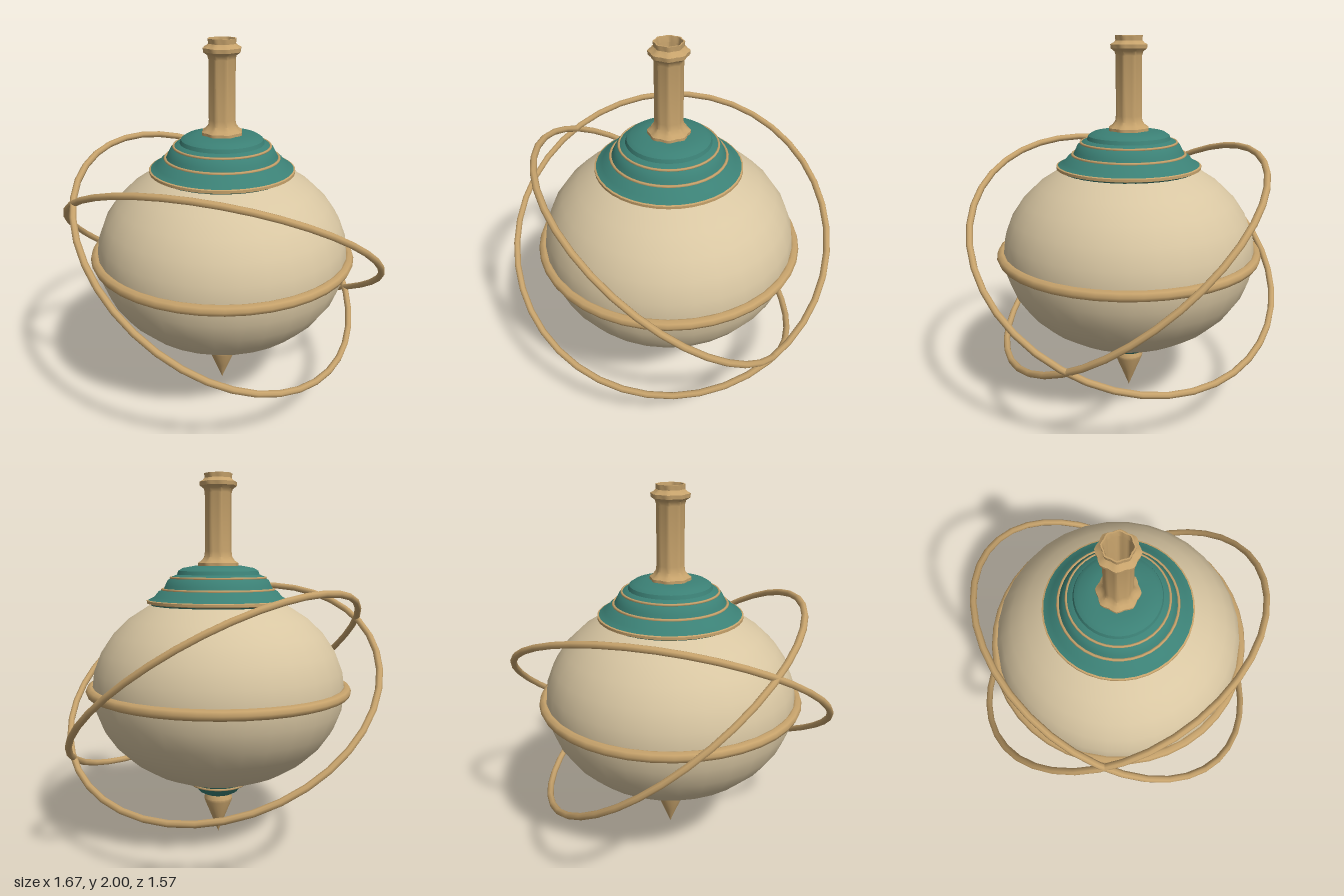
import * as THREE from 'three';
import { toCreasedNormals } from 'three/addons/utils/BufferGeometryUtils.js';

const material = (name, color) => {
  const m = new THREE.MeshStandardMaterial({ color });
  m.name = name;
  return m;
};

export function createModel() {
  const model = new THREE.Group();
  model.name = 'spinningTop';
  const cream = material('cream', 0xd8c6a2);
  const tan = material('tan', 0xc6a26b);
  const teal = material('teal', 0x3b8075);

  const add = (name, geometry, mat, y = 0) => {
    const mesh = new THREE.Mesh(geometry, mat);
    mesh.name = name;
    mesh.position.y = y;
    model.add(mesh);
    return mesh;
  };
  // Profiles run upwards as [radius, height] pairs
  const lathe = (profile, segments = 40) =>
    new THREE.LatheGeometry(profile.map(([r, y]) => new THREE.Vector2(r, y)), segments);
  const turned = (name, profile, mat, segments) =>
    add(name, toCreasedNormals(lathe(profile, segments), 0.6), mat);
  const hoop = (name, radius, tube, y, sides = 8, segments = 40) =>
    add(name, new THREE.TorusGeometry(radius, tube, sides, segments).rotateX(Math.PI / 2), tan, y);

  // Flattened round body with its equator band
  add('body', new THREE.SphereGeometry(0.692, 32, 16).scale(1, 0.78, 1), cream, 0.845);
  hoop('equatorBand', 0.699, 0.029, 0.842);

  // Stepped upper collar, open in the middle
  turned('upperCollar', [
    [0.35, 1.27], [0.37, 1.305], [0.385, 1.315], [0.385, 1.328], [0.35, 1.345], [0.325, 1.375],
    [0.3, 1.385], [0.29, 1.405], [0.275, 1.435], [0.26, 1.445], [0.25, 1.455], [0.225, 1.465],
    [0.218, 1.485], [0.195, 1.5], [0.13, 1.512], [0.06, 1.512],
  ], teal);
  turned('upperCollarRim', [[0.37, 1.306], [0.391, 1.312], [0.391, 1.326], [0.37, 1.334]], tan);
  hoop('middleTrim', 0.304, 0.008, 1.384, 6);
  hoop('topTrim', 0.258, 0.007, 1.448, 6);

  // Hollow stem with eight shallow flutes and flared ends
  const stem = lathe([
    [0.09, 1.505], [0.107, 1.512], [0.107, 1.527], [0.088, 1.54], [0.074, 1.56], [0.07, 1.59],
    [0.07, 1.9], [0.076, 1.92], [0.096, 1.935], [0.098, 1.955], [0.08, 1.965], [0.071, 1.975],
    [0.073, 2.0], [0.066, 2.0], [0.06, 1.97], [0.06, 1.37],
  ], 32);
  const p = stem.attributes.position;
  for (let i = 0; i < p.count; i++) {
    const k = 1 + 0.05 * Math.cos(8 * Math.atan2(p.getX(i), p.getZ(i)));
    p.setX(i, p.getX(i) * k);
    p.setZ(i, p.getZ(i) * k);
  }
  add('stem', toCreasedNormals(stem, 0.7), tan);

  // Lower collar and pointed tip
  turned('lowerCollar', [
    [0, 0.233], [0.085, 0.236], [0.11, 0.25], [0.125, 0.272], [0.145, 0.285], [0.155, 0.297],
    [0.16, 0.308], [0.17, 0.32], [0.165, 0.335], [0, 0.345],
  ], teal);
  hoop('lowerTrim', 0.155, 0.007, 0.297, 6);
  turned('tip', [[0, 0], [0.04, 0.1], [0.077, 0.19], [0.08, 0.205], [0.068, 0.235], [0, 0.24]], tan, 20);

  // Two tilted orbit rings, mirrored front to back
  for (const side of [1, -1]) {
    const normal = new THREE.Vector3(0.366, 0.792, 0.488 * side).normalize();
    const ring = add(side > 0 ? 'frontOrbitRing' : 'backOrbitRing',
      new THREE.TorusGeometry(0.882, 0.018, 8, 40), tan, 0.845);
    ring.quaternion.setFromUnitVectors(new THREE.Vector3(0, 0, 1), normal);
  }
  return model;
}
